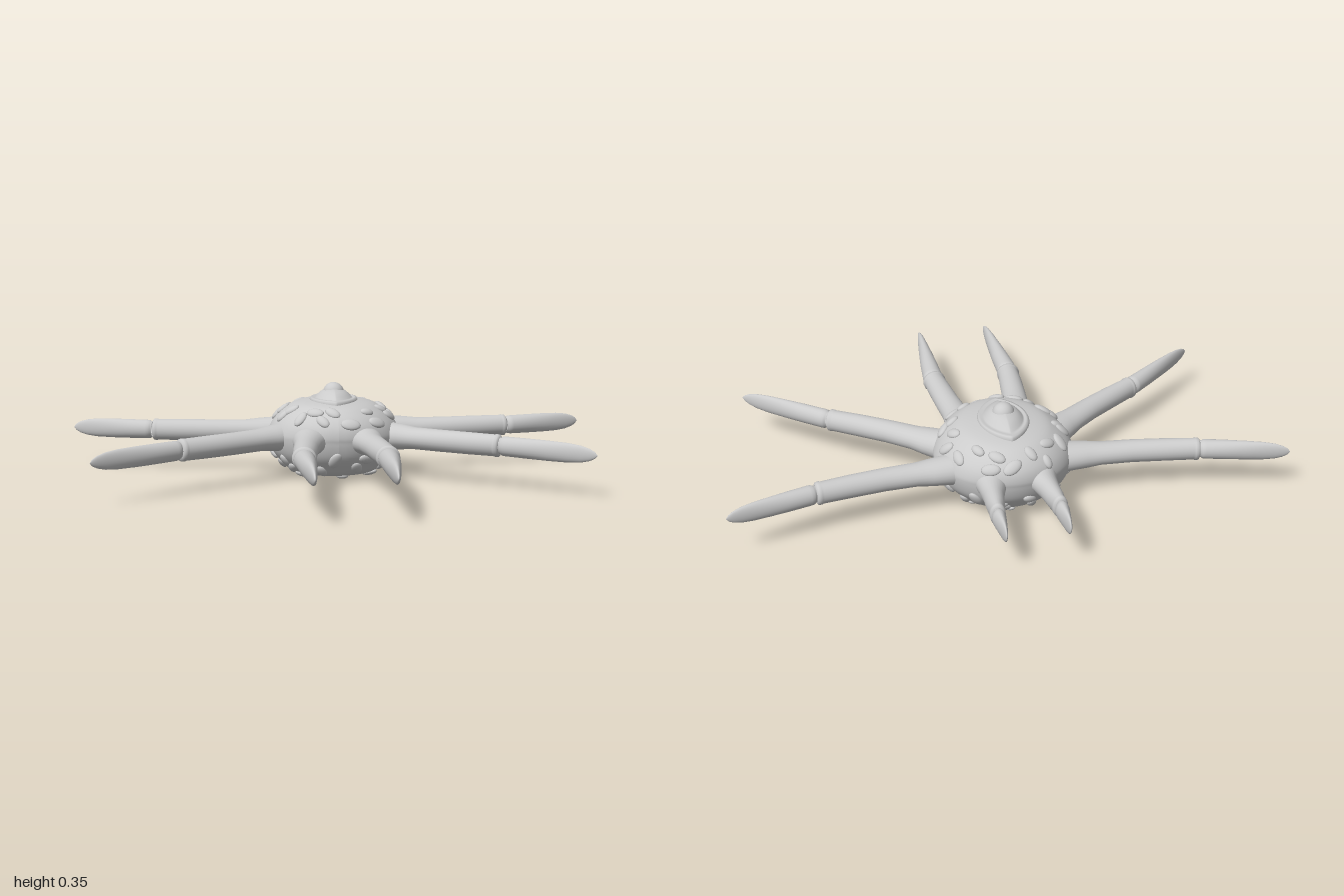
import * as THREE from 'three';

const material = new THREE.MeshStandardMaterial({ color: 0xcccccc, side: THREE.DoubleSide });
const UP = new THREE.Vector3(0, 1, 0);
const BODY_Z = -0.215;
const LEG_Y = 0.16;

// Skin a list of closed rings with smooth normals
function loft(rings) {
  const n = rings[0].length, pos = [], idx = [];
  rings.forEach(r => r.forEach(p => pos.push(p.x, p.y, p.z)));
  for (let i = 0; i < rings.length - 1; i++) {
    for (let j = 0; j < n; j++) {
      const a = i * n + j, b = i * n + (j + 1) % n;
      idx.push(a, b, a + n, b, b + n, a + n);
    }
  }
  const g = new THREE.BufferGeometry();
  g.setAttribute('position', new THREE.Float32BufferAttribute(pos, 3));
  g.setIndex(idx);
  g.computeVertexNormals();
  return g;
}

// Elliptical limb along a curve; stations are [t, half width, half height]
function limb(curve, stations, sides = 24) {
  return loft(stations.map(([t, w, h]) => {
    const p = curve.getPointAt(t);
    const side = new THREE.Vector3().crossVectors(UP, curve.getTangentAt(t)).normalize();
    return Array.from({ length: sides }, (_, j) => {
      const a = j / sides * Math.PI * 2;
      return p.clone().addScaledVector(side, Math.cos(a) * w).addScaledVector(UP, Math.sin(a) * h);
    });
  }));
}

function add(parent, name, geometry) {
  const mesh = new THREE.Mesh(geometry, material);
  mesh.name = name;
  parent.add(mesh);
  return mesh;
}

// Body outline from underside to crown, as (radius, height)
const profile = new THREE.SplineCurve([
  [0, 0.014], [0.1, 0.014], [0.165, 0.025], [0.205, 0.06], [0.235, 0.1], [0.25, 0.15],
  [0.247, 0.18], [0.225, 0.22], [0.185, 0.258], [0.13, 0.284], [0, 0.3],
].map(p => new THREE.Vector2(...p)));
const stretch = y => 1 + Math.max(0, y - 0.16) * 1.3; // crown is longer front to back

function bodyGeometry() {
  const g = new THREE.LatheGeometry(profile.getPoints(48), 64);
  const p = g.attributes.position;
  for (let i = 0; i < p.count; i++) p.setZ(i, p.getZ(i) * stretch(p.getY(i)));
  g.computeVertexNormals();
  return g;
}

// Oval warts lying flat on the shell in staggered rings
function addWarts(parent) {
  let seed = 7;
  const rand = () => (seed = (seed * 16807) % 2147483647) / 2147483647;
  const geo = new THREE.SphereGeometry(1, 16, 10);
  const rings = [[0.16, 6], [0.27, 10], [0.36, 13], [0.73, 13], [0.8, 11]]; // [profile t, count]
  rings.forEach(([t0, count], k) => {
    for (let i = 0; i < count; i++) {
      const t = t0 + (rand() - 0.5) * 0.05;
      const a = (i + k * 0.5 + (rand() - 0.5) * 0.4) / count * Math.PI * 2;
      const p = profile.getPoint(t), d = profile.getTangent(t);
      const normal = new THREE.Vector3(d.y * Math.sin(a), -d.x, d.y * Math.cos(a)).normalize();
      const wart = add(parent, 'wart', geo);
      wart.position.set(p.x * Math.sin(a), p.y, p.x * Math.cos(a) * stretch(p.y));
      wart.quaternion.setFromUnitVectors(new THREE.Vector3(0, 0, 1), normal);
      wart.rotateZ(rand() * Math.PI);
      const size = 0.026 + rand() * 0.012;
      wart.scale.set(size, size * 0.6, 0.012);
    }
  });
}

// Almond crest with a raised rim and a domed middle
function crestGeometry() {
  const levels = [[1, 0.25], [1, 0.288], [0.95, 0.298], [0.87, 0.3], [0.8, 0.296], [0.74, 0.299],
    [0.68, 0.308], [0.5, 0.322], [0.25, 0.331], [0, 0.333]];
  return loft(levels.map(([s, y]) => Array.from({ length: 48 }, (_, j) => {
    const a = j / 48 * Math.PI * 2;
    const z = Math.cos(a) * 0.148;
    const x = Math.sign(Math.sin(a)) * Math.pow(Math.abs(Math.sin(a)), 1.5) * 0.092;
    return new THREE.Vector3(x * s, y, z * s);
  })));
}

// Base, middle, joint and tip as (x, z), with half widths at base and joint
const LEGS = [
  { name: 'frontLeg', pts: [[0.1, -0.03], [0.128, 0.16], [0.147, 0.35], [0.135, 0.745]], w: [0.05, 0.041] },
  { name: 'frontSideLeg', pts: [[0.19, -0.14], [0.39, 0.012], [0.58, 0.135], [0.88, 0.37]], w: [0.05, 0.036] },
  { name: 'rearSideLeg', pts: [[0.2, -0.3], [0.46, -0.318], [0.69, -0.355], [1.0, -0.445]], w: [0.046, 0.036] },
  { name: 'backLeg', pts: [[0.085, -0.4], [0.1, -0.52], [0.109, -0.62], [0.109, -0.755]], w: [0.046, 0.026] },
];

function makeLeg({ name, pts, w: [w0, w1] }, s) {
  const leg = new THREE.Group();
  leg.name = (s > 0 ? 'left ' : 'right ') + name;
  const [base, mid, joint, tip] = pts.map(([x, z]) => new THREE.Vector3(s * x, LEG_Y, z));
  const h = 0.041;
  const upper = new THREE.CatmullRomCurve3([base, mid, joint]);
  const e = 0.012 / upper.getLength(); // joint detail keeps one size on every leg
  add(leg, 'upperLeg', limb(upper, [
    [0, w0 * 1.35, h * 1.3], [0.16, w0 * 1.16, h * 1.15], [0.27, w0, h], [0.5, (w0 + w1) / 2, h],
    [0.75, w0 * 0.25 + w1 * 0.75, h], [1 - 2 * e, w1 * 0.97, h * 0.98], [1 - 1.4 * e, w1 * 1.06, h * 1.02],
    [1 - 0.5 * e, w1 * 1.04, h], [1 - 0.1 * e, w1 * 0.85, h * 0.85], [1, w1 * 0.7, h * 0.75],
  ]));
  // Blade-like tip: narrows sideways, keeps its height, then rounds off
  const lower = new THREE.LineCurve3(joint, tip);
  const f = 0.012 / lower.getLength();
  add(leg, 'legTip', limb(lower, [
    [0, w1 * 0.7, h * 0.75], [f * 0.5, w1 * 0.76, h * 0.78], [f, w1 * 0.92, h * 0.86],
    [f * 2, w1 * 0.92, h * 0.88], [0.3, w1 * 0.8, h * 0.9], [0.5, w1 * 0.64, h * 0.9],
    [0.7, w1 * 0.45, h * 0.86], [0.83, w1 * 0.32, h * 0.74], [0.92, w1 * 0.2, h * 0.53],
    [0.97, w1 * 0.12, h * 0.3], [1, 0, 0],
  ]));
  return leg;
}

export function createModel() {
  const model = new THREE.Group();
  model.name = 'crawler';

  const body = new THREE.Group();
  body.name = 'body';
  body.position.z = BODY_Z;
  add(body, 'shell', bodyGeometry());
  add(body, 'crest', crestGeometry());
  add(body, 'crestKnob', new THREE.SphereGeometry(0.04, 24, 16)).position.y = 0.315;
  addWarts(body);
  model.add(body);

  for (const spec of LEGS) for (const s of [1, -1]) model.add(makeLeg(spec, s));
  return model;
}
